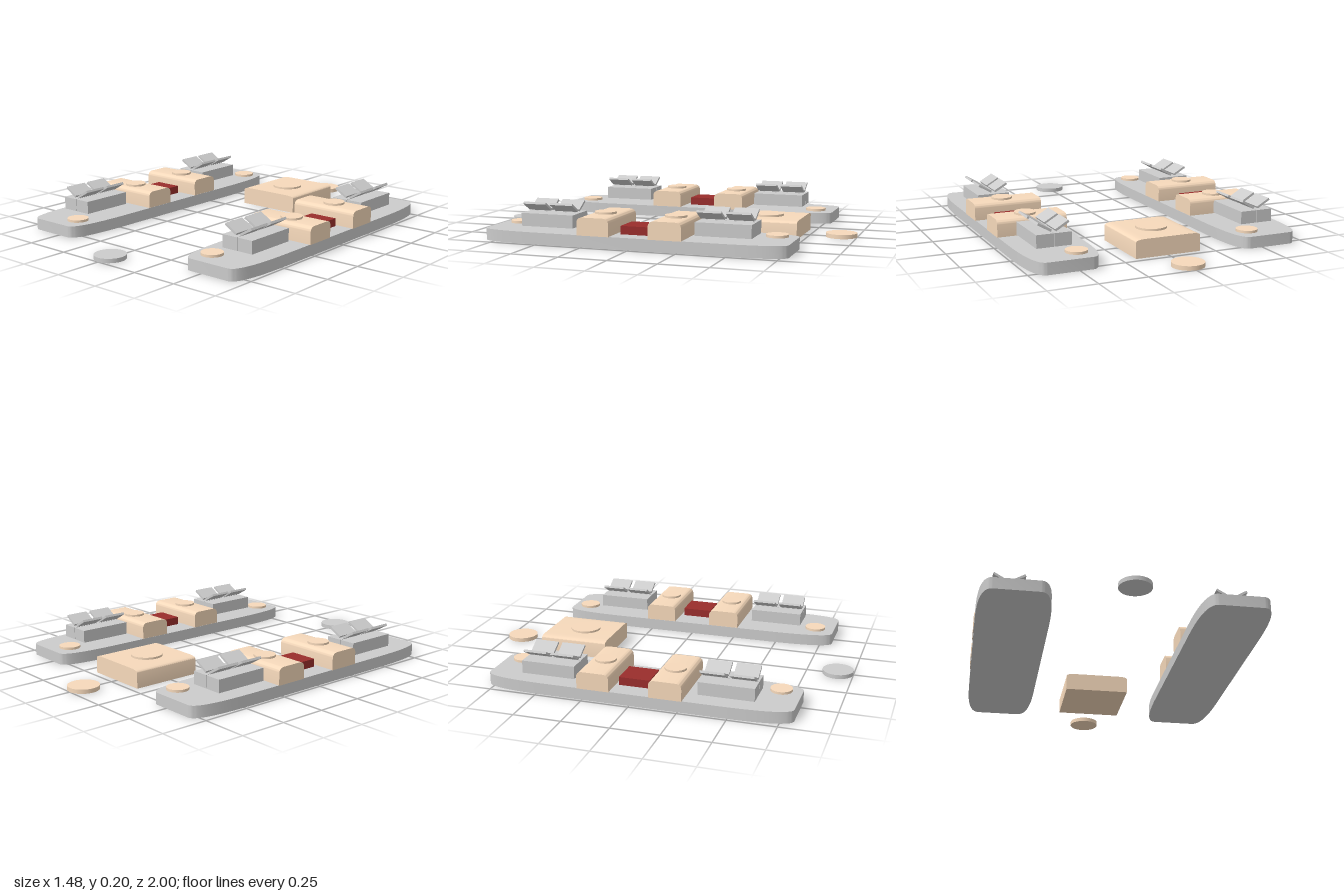
import * as THREE from 'three';
import { toCreasedNormals } from 'three/addons/utils/BufferGeometryUtils.js';

const grey = new THREE.MeshStandardMaterial({ color: 0xcccccc });
const tan = new THREE.MeshStandardMaterial({ color: 0xf6d9bb });
const red = new THREE.MeshStandardMaterial({ color: 0x992e2c });

function add(parent, name, geometry, material, x, y, z) {
  const mesh = new THREE.Mesh(geometry, material);
  mesh.name = name;
  mesh.position.set(x, y, z);
  parent.add(mesh);
  return mesh;
}

// Upright disc whose underside sits at y
function disc(parent, name, material, r, h, x, y, z) {
  return add(parent, name, new THREE.CylinderGeometry(r, r, h, 48), material, x, y + h / 2, z);
}

// Block with softened top edges: an arch-like section extruded along z, centred
function softBlock(halfWidth, height, length, cutX, cutY) {
  const s = new THREE.Shape();
  s.moveTo(-halfWidth, 0);
  s.lineTo(halfWidth, 0);
  s.lineTo(halfWidth, height - cutY);
  s.quadraticCurveTo(halfWidth, height, halfWidth - cutX, height);
  s.lineTo(-halfWidth + cutX, height);
  s.quadraticCurveTo(-halfWidth, height, -halfWidth, height - cutY);
  const g = new THREE.ExtrudeGeometry(s, { depth: length, bevelEnabled: false, curveSegments: 10 });
  g.translate(0, 0, -length / 2);
  return toCreasedNormals(g, 0.6);
}

// Long deck slab with drawn-out rounded corners
function deckGeometry(w, l, height) {
  const s = new THREE.Shape();
  const end = 0.115, start = l - 0.36;
  s.moveTo(w, -start);
  s.lineTo(w, start);
  s.bezierCurveTo(w, l - 0.1, w - 0.025, l, end, l);
  s.lineTo(-end, l);
  s.bezierCurveTo(-w + 0.025, l, -w, l - 0.1, -w, start);
  s.lineTo(-w, -start);
  s.bezierCurveTo(-w, -l + 0.1, -w + 0.025, -l, -end, -l);
  s.lineTo(end, -l);
  s.bezierCurveTo(w - 0.025, -l, w, -l + 0.1, w, -start);
  const g = new THREE.ExtrudeGeometry(s, { depth: height, bevelEnabled: false, curveSegments: 20 });
  g.rotateX(-Math.PI / 2);
  return toCreasedNormals(g, 0.6);
}

// Twin box with four hatch flaps opened in a V
function hatchUnit(x, z) {
  const unit = new THREE.Group();
  unit.name = 'hatchUnit';
  unit.position.set(x, 0, z);
  for (const side of [-1, 1]) {
    add(unit, 'hatchBox', new THREE.BoxGeometry(0.09, 0.067, 0.286), grey, side * 0.0465, 0.1105, 0);
    for (const end of [-1, 1]) {
      const flap = add(unit, 'hatchFlap', new THREE.BoxGeometry(0.08, 0.012, 0.125), grey,
        side * 0.0455, 0.176, end * 0.074);
      flap.rotation.z = side * Math.PI / 6;
    }
  }
  return unit;
}

function createBarge(side) {
  const barge = new THREE.Group();
  barge.name = side < 0 ? 'rightPlatform' : 'leftPlatform';
  add(barge, 'deck', deckGeometry(0.187, 0.8, 0.061), grey, side * 0.548, 0, 0.0135);

  // Cross blocks with round caps
  const capX = side < 0 ? [-0.545, -0.553] : [0.56, 0.56];
  [-0.19, 0.187].forEach((z, i) => {
    const block = softBlock(0.085, 0.091, 0.376, 0.033, 0.03);
    block.rotateY(Math.PI / 2);
    add(barge, 'crossBlock', block, tan, side * 0.55, 0.06, z);
    disc(barge, 'blockCap', tan, 0.056, 0.012, capX[i], 0.15, z);
  });

  // Red box between the cross blocks
  add(barge, 'redBox', new THREE.BoxGeometry(0.153, 0.043, 0.162), red,
    side < 0 ? -0.557 : 0.564, 0.082, -0.006);

  // Hatches and end discs
  for (const z of [-0.458, 0.476]) barge.add(hatchUnit(side < 0 ? -0.577 : 0.559, z));
  for (const z of [-0.687, 0.708]) {
    disc(barge, 'deckDisc', tan, 0.056, 0.013, side < 0 ? -0.466 : 0.479, 0.066, z);
  }
  return barge;
}

export function createModel() {
  const model = new THREE.Group();
  model.name = 'model';
  model.add(createBarge(-1), createBarge(1));

  // Central block with its cap
  add(model, 'centreBlock', softBlock(0.177, 0.096, 0.376, 0.06, 0.013), tan, 0, 0, -0.528);
  disc(model, 'centreCap', tan, 0.082, 0.012, 0, 0.095, -0.522);

  // Loose discs at the two ends
  disc(model, 'backDisc', tan, 0.082, 0.022, 0, 0, -0.918);
  disc(model, 'frontDisc', grey, 0.082, 0.022, 0, 0, 0.918);
  return model;
}
